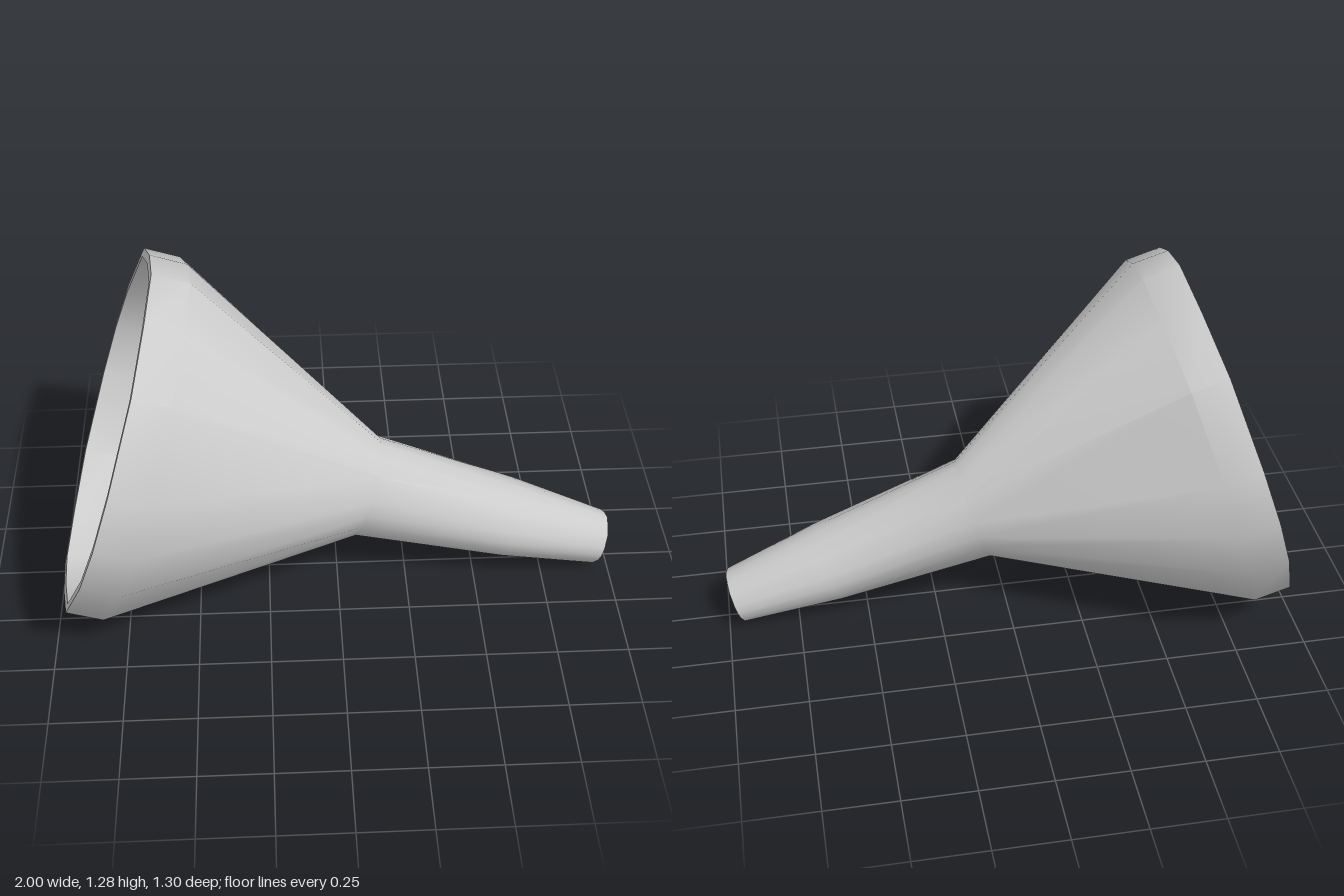
import * as THREE from 'three';
import { toCreasedNormals } from 'three/addons/utils/BufferGeometryUtils.js';

// Quarter of the sixteen-sided cross-section, as unit [up, side] pairs
const QUARTER = [[1, 0], [0.905, 0.33], [0.724, 0.685], [0.304, 0.937]];

// Full section: each quarter is followed by its mirror image
function sectionPoints() {
  const half = [...QUARTER, [0, 1], ...QUARTER.slice(1).reverse().map(([u, v]) => [-u, v]), [-1, 0]];
  return [...half, ...half.slice(1, -1).reverse().map(([u, v]) => [u, -v])];
}

// Skin a closed loop of rings [along, upRadius, sideRadius] around the x axis
function skinRings(rings) {
  const section = sectionPoints();
  const n = section.length;
  const positions = [];
  const index = [];
  for (const [x, ru, rs] of rings) {
    for (const [u, v] of section) positions.push(x, u * ru, v * rs);
  }
  for (let i = 0; i < rings.length; i++) {
    const next = (i + 1) % rings.length;
    for (let j = 0; j < n; j++) {
      const k = (j + 1) % n;
      const a = i * n + j, b = i * n + k, c = next * n + j, d = next * n + k;
      index.push(a, b, c, b, d, c);
    }
  }
  const geometry = new THREE.BufferGeometry();
  geometry.setAttribute('position', new THREE.Float32BufferAttribute(positions, 3));
  geometry.setIndex(index);
  return toCreasedNormals(geometry, THREE.MathUtils.degToRad(40));
}

export function createModel() {
  const group = new THREE.Group();
  group.name = 'funnel';

  // Outer wall: rim, collar, neck, spout middle, spout tip
  const outer = [
    [0, 0.649, 0.652],
    [0.131, 0.649, 0.652],
    [0.952, 0.192, 0.175],
    [1.5, 0.137, 0.157],
    [1.857, 0.096, 0.108],
  ];
  // Inner wall, running back from the tip to the rim
  const inner = [
    [1.857, 0.083, 0.084],
    [1.5, 0.112, 0.13],
    [0.945, 0.165, 0.15],
    [0.125, 0.618, 0.62],
    [0, 0.618, 0.62],
  ];

  const body = new THREE.Mesh(
    skinRings([...outer, ...inner]),
    new THREE.MeshStandardMaterial({ color: 0xcccccc })
  );
  body.name = 'funnelBody';
  // Resting on its side: the rim edge and the spout tip touch the ground
  body.rotation.z = -0.313;
  body.position.set(-0.8, 0.668, 0);
  group.add(body);
  return group;
}
